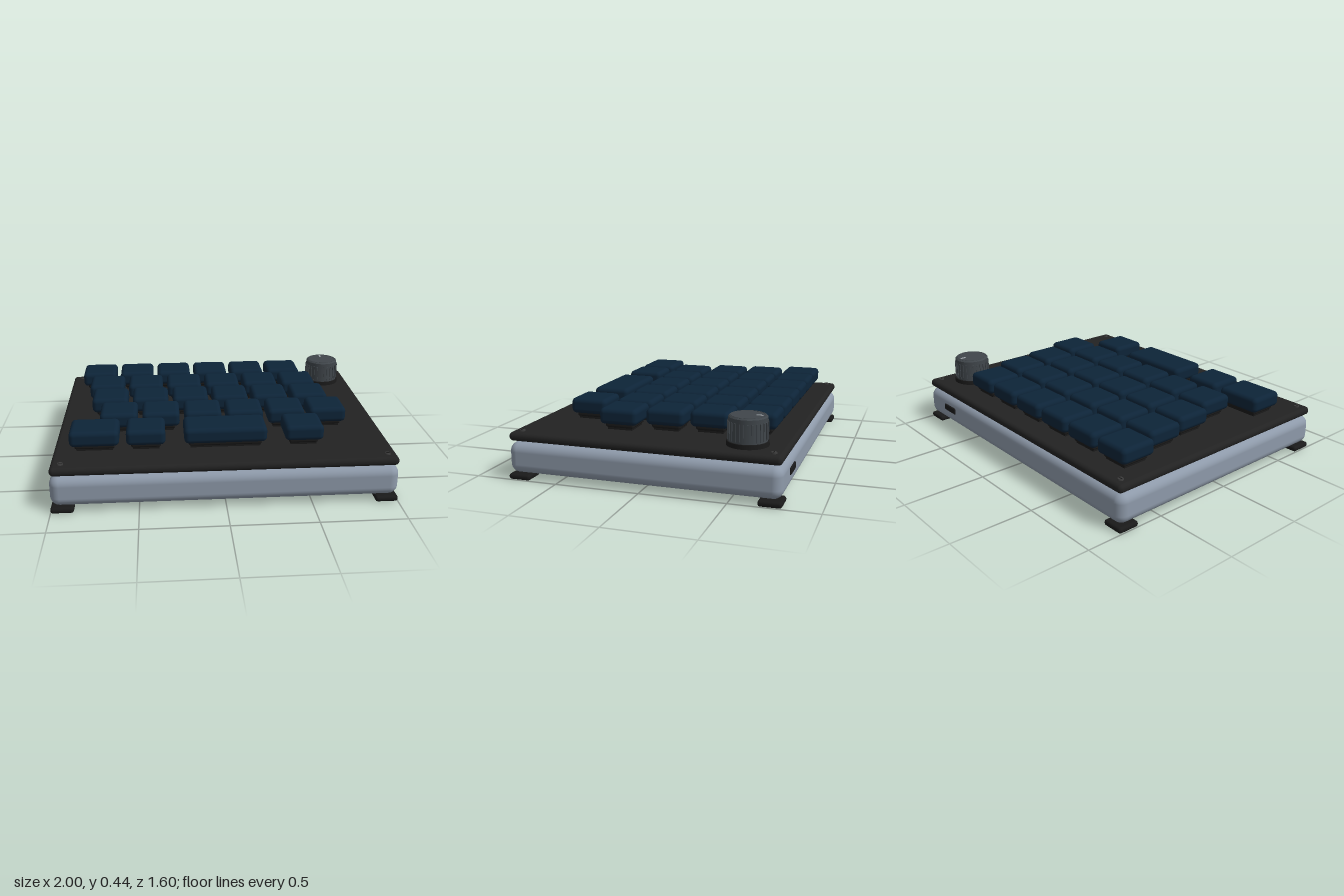
import * as THREE from 'three';
import { RoundedBoxGeometry } from 'three/addons/geometries/RoundedBoxGeometry.js';

const mat = (name, color) => {
  const m = new THREE.MeshStandardMaterial({ color });
  m.name = name;
  return m;
};

export function createModel() {
  const model = new THREE.Group();
  model.name = 'keypad';
  const caseGrey = mat('caseGrey', 0x8e9aaa);
  const plateBlack = mat('plateBlack', 0x222222);
  const keyNavy = mat('keyNavy', 0x0d2438);
  const knobGrey = mat('knobGrey', 0x40464b);
  const rubberBlack = mat('rubberBlack', 0x1a1a1a);
  const screwGrey = mat('screwGrey', 0x3a3a3a);
  const markGrey = mat('markGrey', 0xa0a6ac);

  const add = (parent, name, geo, material, x, y, z) => {
    const m = new THREE.Mesh(geo, material);
    m.name = name;
    m.position.set(x, y, z);
    parent.add(m);
    return m;
  };
  const rbox = (w, h, d, r) => new RoundedBoxGeometry(w, h, d, 4, r);

  // Case with the top plate floating just above it
  add(model, 'case', rbox(2, 0.182, 1.59, 0.055), caseGrey, 0, 0.129, 0.003);
  add(model, 'topPlate', rbox(1.985, 0.051, 1.58, 0.024), plateBlack, 0, 0.2525, 0.003);

  // Feet and plate screws at the four corners
  for (const sx of [-1, 1]) for (const sz of [-1, 1]) {
    add(model, 'foot', rbox(0.132, 0.034, 0.132, 0.015), rubberBlack, sx * 0.934, 0.018, 0.003 + sz * 0.73);
    const screw = new THREE.Group();
    screw.name = 'screw';
    screw.position.set(sx * 0.933, 0.278, sz * 0.732);
    add(screw, 'screwHead', new THREE.CylinderGeometry(0.016, 0.018, 0.01, 20), screwGrey, 0, 0.003, 0);
    add(screw, 'screwSlot', new THREE.BoxGeometry(0.024, 0.002, 0.005), rubberBlack, 0, 0.0085, 0);
    model.add(screw);
  }

  // Key caps on stepped switch housings
  const addKey = (x, z, w) => {
    const key = new THREE.Group();
    key.name = 'key';
    key.position.set(x, 0, z);
    add(key, 'keyCap', rbox(w, 0.094, 0.229, 0.028), keyNavy, 0, 0.359, 0);
    add(key, 'switchTop', rbox(w - 0.055, 0.034, 0.172, 0.012), rubberBlack, 0, 0.307, 0);
    add(key, 'switchBase', new THREE.BoxGeometry(w - 0.075, 0.024, 0.15), rubberBlack, 0, 0.286, 0);
    model.add(key);
  };
  // Four staggered rows: first key's centre x, row z, number of keys
  for (const [x0, z, n] of [[-0.78, -0.563, 6], [-0.716, -0.305, 6], [-0.684, -0.05, 6], [-0.62, 0.209, 6]])
    for (let i = 0; i < n; i++) addKey(x0 + i * 0.2575, z, 0.228);
  // Bottom row: centre x, width
  for (const [x, w] of [[-0.752, 0.287], [-0.454, 0.228], [0.012, 0.486], [0.476, 0.228]]) addKey(x, 0.481, w);

  // Rotary knob
  const knob = new THREE.Group();
  knob.name = 'knob';
  knob.position.set(0.805, 0, -0.561);
  add(knob, 'knobCollar', new THREE.CylinderGeometry(0.116, 0.118, 0.026, 48), rubberBlack, 0, 0.29, 0);
  const profile = [[0, 0.302], [0.109, 0.302], [0.109, 0.302], [0.107, 0.434], [0.107, 0.434],
    [0.1, 0.441], [0.1, 0.441], [0, 0.441]].map(([r, y]) => new THREE.Vector2(r, y));
  add(knob, 'knobBody', new THREE.LatheGeometry(profile, 48), knobGrey, 0, 0, 0);
  const ribs = 28;
  for (let i = 0; i < ribs; i++) {
    const a = (i / ribs) * Math.PI * 2;
    const rib = add(knob, 'knobRib', new THREE.BoxGeometry(0.008, 0.1, 0.008), knobGrey,
      Math.sin(a) * 0.109, 0.361, Math.cos(a) * 0.109);
    rib.rotation.y = a;
  }
  add(knob, 'knobRing', new THREE.TorusGeometry(0.094, 0.0025, 6, 48).rotateX(Math.PI / 2), knobGrey, 0, 0.441, 0);
  add(knob, 'knobMark', new THREE.BoxGeometry(0.012, 0.004, 0.036), markGrey, 0, 0.442, -0.064);
  model.add(knob);

  // Cable port on the back
  add(model, 'port', rbox(0.132, 0.042, 0.03, 0.008), rubberBlack, 0.726, 0.142, -0.786);

  return model;
}
